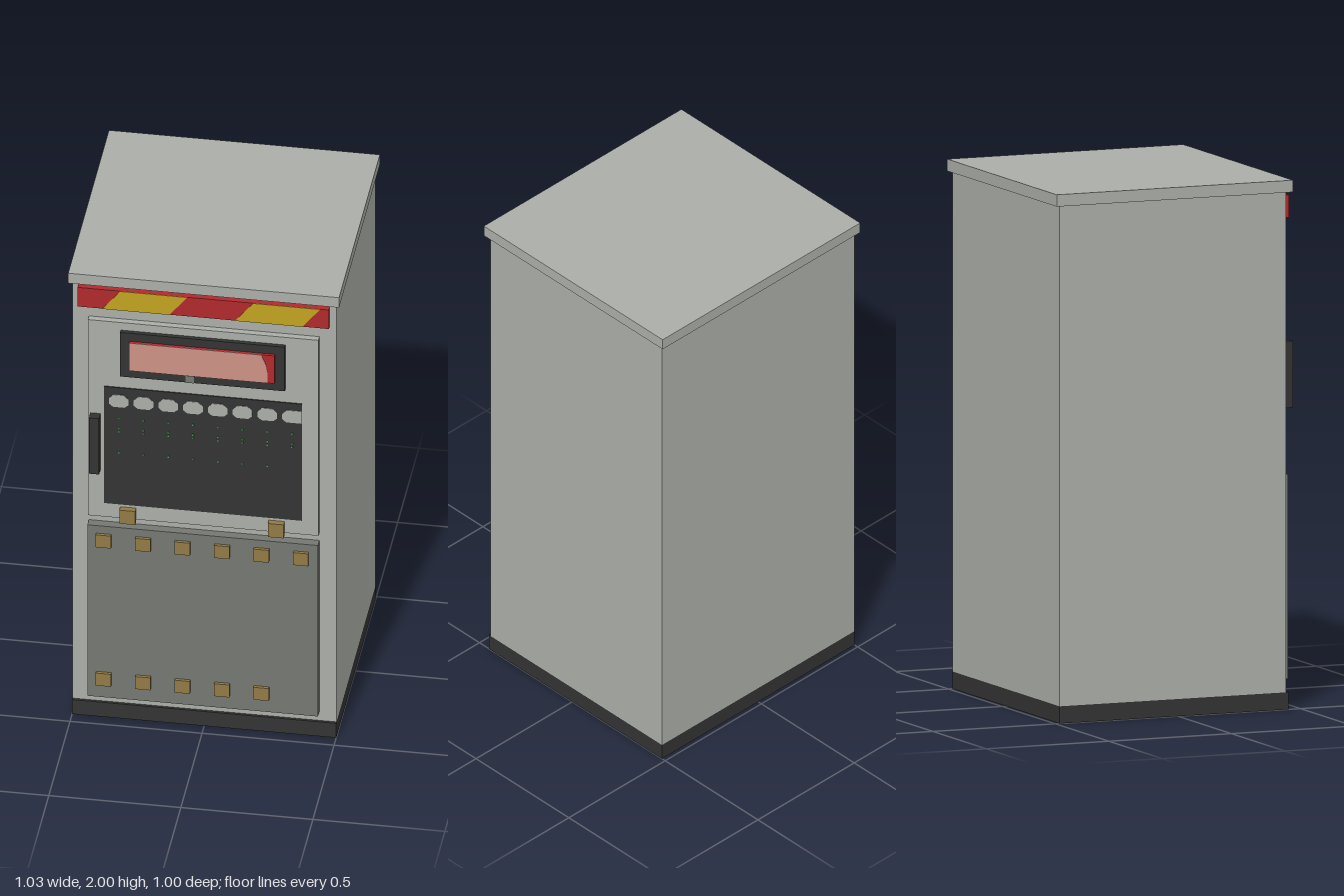
import * as THREE from 'three';

const mat = (name, color, side = THREE.FrontSide) => {
  const m = new THREE.MeshStandardMaterial({ color, side });
  m.name = name;
  return m;
};

export function createModel() {
  const model = new THREE.Group();
  model.name = 'controlCabinet';

  const grey = mat('cabinet grey', 0xabaea8);
  const darkGrey = mat('panel grey', 0x757872);
  const black = mat('black', 0x333333);
  const bronze = mat('bronze', 0x937a45);
  const red = mat('red', 0xb02a2e);
  const yellow = mat('hazard yellow', 0xc0a31f);
  const pink = mat('display pink', 0xcd9186);
  const green = mat('indicator green', 0x3fa34d);

  const add = (name, geometry, material, parent = model) => {
    const mesh = new THREE.Mesh(geometry, material);
    mesh.name = name;
    parent.add(mesh);
    return mesh;
  };
  // Box given by its limits on each axis
  const box = (name, material, x0, x1, y0, y1, z0, z1, parent) => {
    const mesh = add(name, new THREE.BoxGeometry(x1 - x0, y1 - y0, z1 - z0), material, parent);
    mesh.position.set((x0 + x1) / 2, (y0 + y1) / 2, (z0 + z1) / 2);
    return mesh;
  };
  // Thin flat plate with a polygon outline, facing forward
  const plate = (name, material, points, z, parent) => {
    const shape = new THREE.Shape(points.map(([x, y]) => new THREE.Vector2(x, y)));
    const mesh = add(name, new THREE.ExtrudeGeometry(shape, { depth: 0.002, bevelEnabled: false }), material, parent);
    mesh.position.z = z;
    return mesh;
  };
  const group = (name) => {
    const g = new THREE.Group();
    g.name = name;
    model.add(g);
    return g;
  };

  // Cabinet shell
  box('base', black, -0.5, 0.5, 0, 0.065, -0.483, 0.45);
  box('body', grey, -0.5, 0.5, 0.065, 1.955, -0.483, 0.44);
  box('roof', grey, -0.513, 0.513, 1.955, 2, -0.5, 0.463);

  // Hazard strip with slanted yellow bands
  const hazard = group('hazardStrip');
  box('hazardBoard', red, -0.477, 0.474, 1.854, 1.94, 0.44, 0.463, hazard);
  for (const x of [-0.384, 0.119]) {
    plate('hazardBand', yellow,
      [[x, 1.854], [x + 0.254, 1.854], [x + 0.323, 1.94], [x + 0.069, 1.94]], 0.463, hazard);
  }

  // Upper door, hinges and handle
  box('upperDoor', grey, -0.438, 0.435, 0.916, 1.8, 0.44, 0.465);
  for (const x of [-0.285, 0.277]) {
    box('hinge', bronze, x - 0.03, x + 0.03, 0.906, 0.967, 0.465, 0.488);
  }
  box('handle', black, -0.428, -0.39, 1.128, 1.38, 0.465, 0.5);

  // Display: frame, red lens, lit area and small latch
  const display = group('display');
  box('displayFrame', black, -0.313, 0.31, 1.567, 1.766, 0.465, 0.481, display);
  box('displayLens', red, -0.278, 0.273, 1.605, 1.73, 0.481, 0.492, display);
  plate('displayGlow', pink,
    [[-0.278, 1.605], [0.247, 1.605], [0.247, 1.65], [0.24, 1.69], [0.222, 1.73], [-0.278, 1.73]], 0.492, display);
  box('displayLatch', darkGrey, -0.066, -0.034, 1.567, 1.597, 0.481, 0.483, display);

  // Switch panel with labels and indicator dots in eight columns
  const switches = group('switchPanel');
  const right = 0.373;
  box('switchBoard', black, -0.377, right, 0.98, 1.507, 0.465, 0.469, switches);
  for (let i = 0; i < 8; i++) {
    const x = -0.32 + i * 0.0937;
    const outline = [
      [-0.022, 1.42], [0.022, 1.42], [0.037, 1.433], [0.037, 1.457],
      [0.02, 1.475], [-0.02, 1.475], [-0.037, 1.457], [-0.037, 1.433],
    ];
    // The last label runs straight to the board's edge
    const points = i < 7 ? outline.map(([u, v]) => [x + u, v]) : [
      [x - 0.022, 1.42], [right, 1.42], [right, 1.475],
      [x - 0.02, 1.475], [x - 0.037, 1.457], [x - 0.037, 1.433],
    ];
    plate('switchLabel', grey, points, 0.469, switches);
    for (const y of i < 7 ? [1.37, 1.325, 1.31, 1.215] : [1.37, 1.325, 1.31]) {
      box('indicator', green, x - 0.003, x + 0.003, y - 0.003, y + 0.003, 0.469, 0.472, switches);
    }
  }

  // Lower access panel and its bolts; the last lower bolt is missing
  box('lowerPanel', darkGrey, -0.438, 0.435, 0.106, 0.879, 0.44, 0.475);
  const bolts = group('bolts');
  [[0.817, 6], [0.192, 5]].forEach(([y, count]) => {
    for (let i = 0; i < count; i++) {
      const x = -0.376 + i * 0.1494;
      box('bolt', bronze, x - 0.029, x + 0.029, y - 0.028, y + 0.028, 0.475, 0.487, bolts);
    }
  });

  return model;
}
